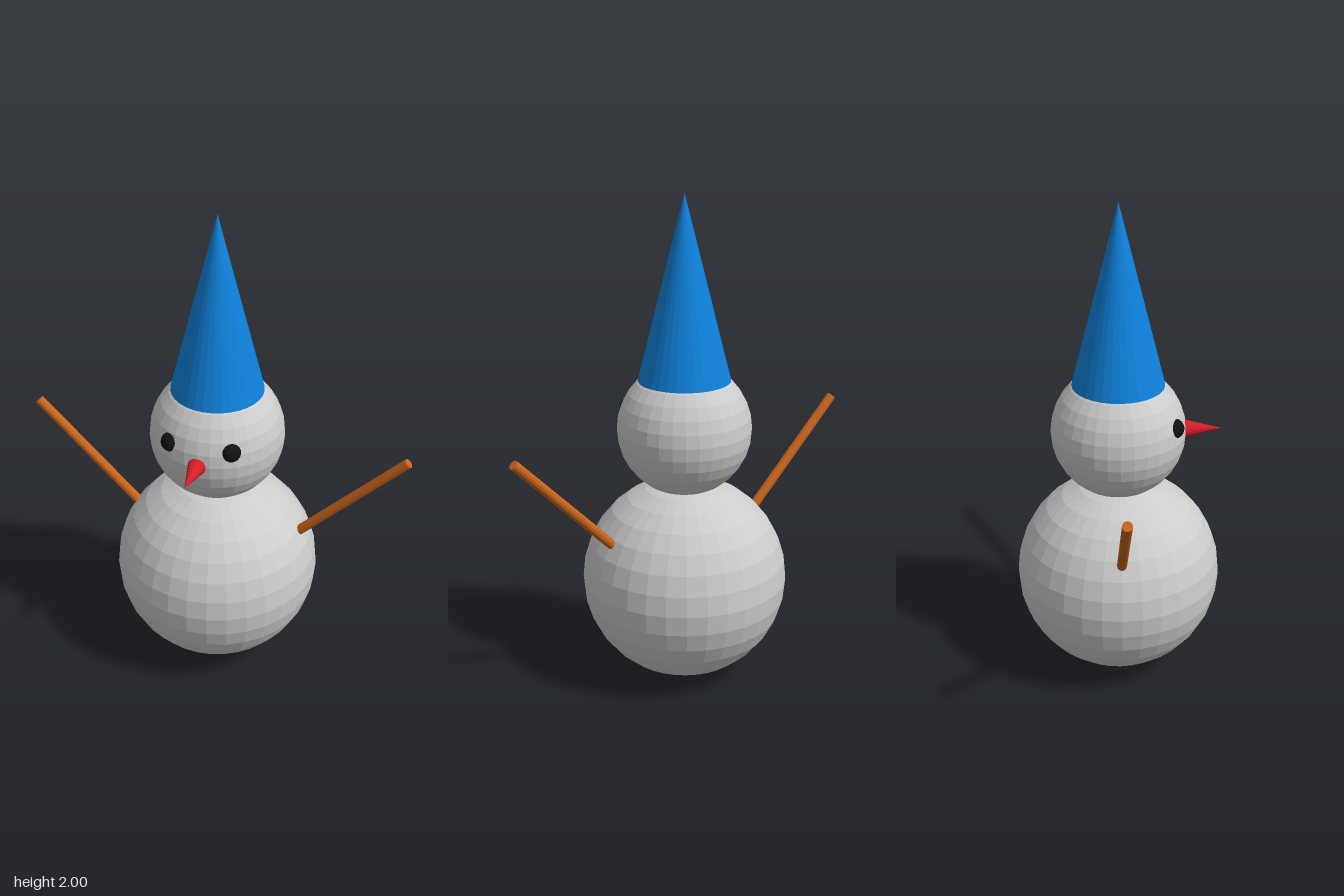
import * as THREE from 'three';

const material = (color) => new THREE.MeshStandardMaterial({ color, flatShading: true });

export function createModel() {
  const model = new THREE.Group();
  model.name = 'snowman';

  const snow = material(0xcccccc);
  const wood = material(0xc8641e);
  const coal = material(0x111111);

  const add = (name, geometry, mat, x, y, z) => {
    const mesh = new THREE.Mesh(geometry, mat);
    mesh.name = name;
    mesh.position.set(x, y, z);
    model.add(mesh);
    return mesh;
  };

  // Two faceted snowballs
  add('body', new THREE.SphereGeometry(0.42, 32, 16), snow, 0, 0.42, 0);
  add('head', new THREE.SphereGeometry(0.272, 32, 16), snow, 0, 1.06, 0);

  // Pointed hat resting on the head
  add('hat', new THREE.ConeGeometry(0.186, 0.74, 32), material(0x0f82dc), 0, 1.63, 0);

  // Carrot nose pointing forward
  const nose = add('nose', new THREE.ConeGeometry(0.04, 0.16, 16), material(0xd21e28), 0, 1.06, 0.335);
  nose.rotation.x = Math.PI / 2;

  // Eyes and stick arms, mirrored left and right
  for (const [side, s] of [['left', 1], ['right', -1]]) {
    add(side + 'Eye', new THREE.SphereGeometry(0.04, 16, 10), coal, s * 0.122, 1.12, 0.215);

    const arm = add(side + 'Arm', new THREE.CylinderGeometry(0.02, 0.02, 0.76, 12), wood, s * 0.507, 0.792, 0);
    arm.rotation.z = -s * Math.PI / 4;
  }

  return model;
}
